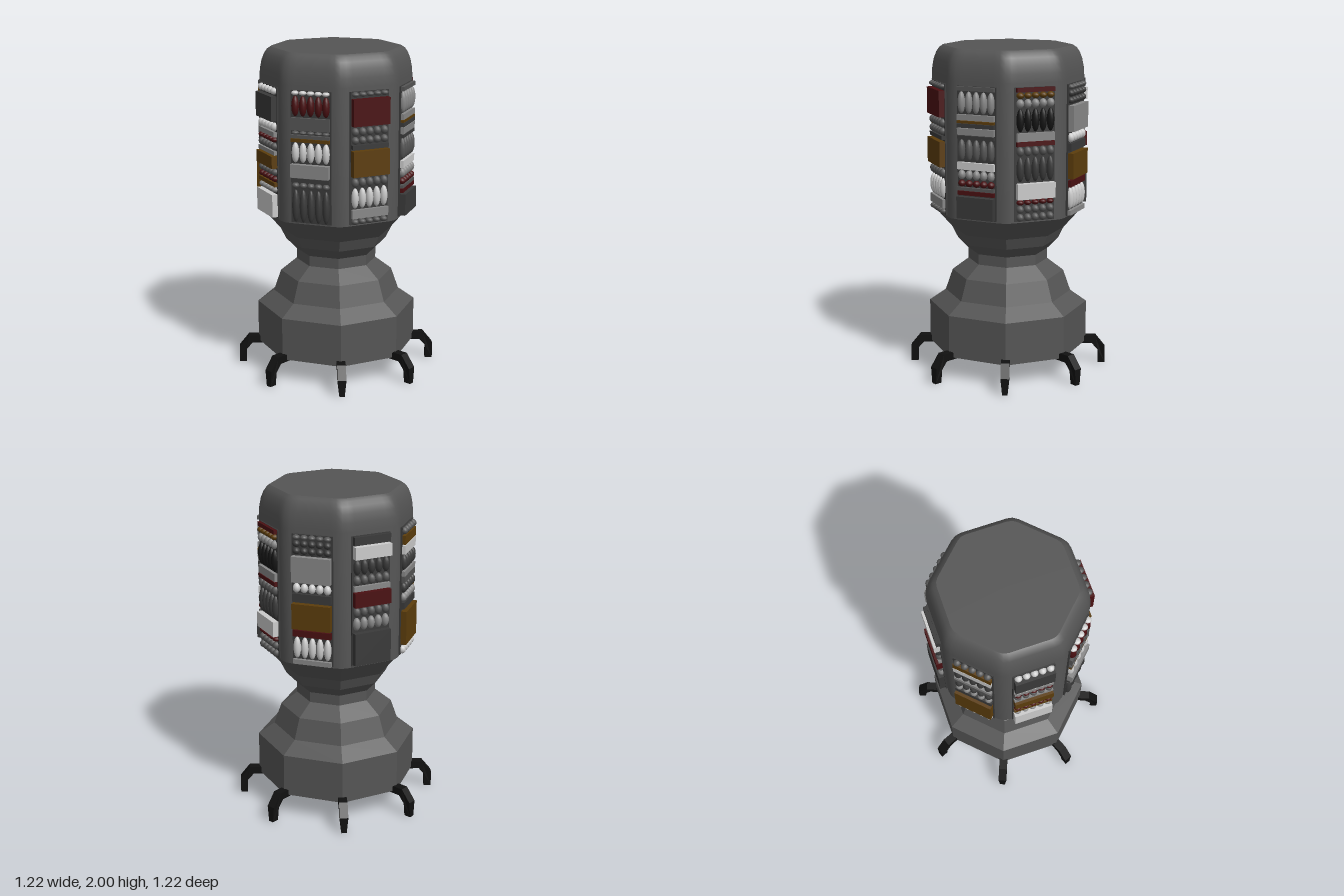
import * as THREE from 'three';
import { toCreasedNormals } from 'three/addons/utils/BufferGeometryUtils.js';

const SIDES = 8;
const STEP = Math.PI * 2 / SIDES;
const APOTHEM = 0.432;
const PANEL_W = 0.235;

const mat = (color, extra = {}) => new THREE.MeshStandardMaterial({ color, ...extra });
const bodyMat = mat(0x555555);
const flatMat = mat(0x555555, { flatShading: true });
const legMat = mat(0x111111);
const paint = {
  W: mat(0xcccccc), L: mat(0x888888), G: mat(0x555555), D: mat(0x3a3a3a),
  K: mat(0x151515), R: mat(0x4a1012), A: mat(0x5c3d0c),
};

function add(parent, name, geometry, material) {
  const mesh = new THREE.Mesh(geometry, material);
  mesh.name = name;
  parent.add(mesh);
  return mesh;
}

const points = (list) => list.map(([r, y]) => new THREE.Vector2(r, y));

// Rounded octagonal housing: a lathe whose radius follows an octagon with softened corners
function housingGeometry() {
  const R = 0.468;
  const profile = points([
    [0, 0.99], [R, 1.0], [R, 1.82], [R - 0.004, 1.87], [R - 0.014, 1.92],
    [R - 0.03, 1.96], [R - 0.048, 1.985], [R - 0.07, 2.0], [0, 2.0],
  ]);
  const geo = new THREE.LatheGeometry(profile, 80);
  const pos = geo.attributes.position;
  for (let i = 0; i < pos.count; i++) {
    const angle = Math.atan2(pos.getX(i), pos.getZ(i)) + Math.PI * 2;
    const d = (angle % STEP) - STEP / 2;
    const k = Math.min(Math.cos(STEP / 2) / Math.cos(d), 0.985);
    pos.setXYZ(i, pos.getX(i) * k, pos.getY(i), pos.getZ(i) * k);
  }
  return toCreasedNormals(geo, 0.5);
}

// Bent leg with a spoke running to the middle of the underside
function legGeometry() {
  const outline = new THREE.Shape(points([
    [0, 0.128], [0.53, 0.128], [0.568, 0.085], [0.568, 0], [0.612, 0],
    [0.612, 0.1], [0.552, 0.175], [0.485, 0.175], [0.46, 0.15], [0, 0.15],
  ]));
  const geo = new THREE.ExtrudeGeometry(outline, { depth: 0.052, bevelEnabled: false });
  geo.translate(0, 0, -0.026);
  const pos = geo.attributes.position;
  for (let i = 0; i < pos.count; i++) {
    const taper = pos.getY(i) < 0.05 || pos.getX(i) < 0.3 ? 0.62 : 1;
    pos.setZ(i, pos.getZ(i) * taper);
  }
  geo.computeVertexNormals();
  return geo;
}

// Panel rows from top to bottom: kind (b box, f low bar, e bulbs), colour key, height weight
const PANELS = [
  'eG6 bR33 eG10 eG9 fD5 bA32 eG11 eW24 fL11 eG7',
  'fG5 eL25 fL7 fA3 fD5 fL8 fD4 eG25 fW9 eL11 eR8 fG4 fR5 bD27',
  'fR5 eA7 eL10 eK26 fL10 fR5 eG11 eD28 bW19 eR6 eG9 eG9',
  'eG6 eD8 eD8 bL32 eW11 fD10 bA32 fR8 eW26 fL6',
  'fD8 bW12 eD14 eG9 fL5 bR14 eG9 eL12 bD32',
  'eG7 fA9 fW9 eD15 fL5 fG6 eD10 eL8 fD7 bA35 eW8',
  'eW8 bD30 eW10 fL6 eR6 eG9 fL5 bA15 eG8 eR7 fA5 eL7 bW28',
  'eW5 eR23 fG15 eG4 fG4 fA4 eW23 bL16 fD5 eG7 eD38',
];

const box = new THREE.BoxGeometry(1, 1, 1);
const bulb = new THREE.SphereGeometry(1, 12, 8);
const BOX_DEPTH = { b: 0.045, f: 0.03 };

function buildPanel(spec) {
  const panel = new THREE.Group();
  panel.name = 'controlPanel';
  const top = 1.795, bottom = 1.01;
  const plate = add(panel, 'backPlate', box, paint.D);
  plate.scale.set(PANEL_W + 0.012, top - bottom, 0.02);
  plate.position.set(0, (top + bottom) / 2, APOTHEM);

  const rows = spec.split(' ').map((s) => ({ kind: s[0], color: paint[s[1]], h: Number(s.slice(2)) }));
  const unit = (top - bottom) / rows.reduce((sum, r) => sum + r.h, 0);
  let y = top;
  for (const { kind, color, h } of rows) {
    const height = h * unit;
    const mid = y - height / 2;
    if (kind === 'e') {
      // Row of five rounded bulbs
      for (let i = 0; i < 5; i++) {
        const m = add(panel, 'bulb', bulb, color);
        m.scale.set(PANEL_W / 10 - 0.001, height * 0.48, 0.024);
        m.position.set((i - 2) * PANEL_W / 5, mid, APOTHEM + 0.014);
      }
    } else {
      const depth = BOX_DEPTH[kind];
      const m = add(panel, kind === 'b' ? 'moduleBox' : 'bar', box, color);
      m.scale.set(PANEL_W, height * 0.9, depth);
      m.position.set(0, mid, APOTHEM + depth / 2);
    }
    y -= height;
  }
  return panel;
}

export function createModel() {
  const model = new THREE.Group();
  model.name = 'octagonalMachine';

  // Faceted base, waist and flared collar
  const pedestal = new THREE.LatheGeometry(points([
    [0, 0.14], [0.49, 0.14], [0.49, 0.4], [0.39, 0.47], [0.345, 0.6], [0.245, 0.675],
    [0.245, 0.74], [0.31, 0.805], [0.345, 0.875], [0.461, 1.005], [0, 1.005],
  ]), SIDES);
  add(model, 'pedestal', pedestal, flatMat);

  add(model, 'housing', housingGeometry(), bodyMat);

  // Legs under the corners, joined at a hub
  const leg = legGeometry();
  for (let i = 0; i < SIDES; i++) {
    add(model, 'leg', leg, legMat).rotation.y = i * STEP;
  }
  add(model, 'legHub', new THREE.CylinderGeometry(0.07, 0.07, 0.026, 16), legMat).position.y = 0.138;

  // One panel on each face
  PANELS.forEach((spec, i) => {
    const panel = buildPanel(spec);
    panel.rotation.y = (i + 0.5) * STEP;
    model.add(panel);
  });
  return model;
}
